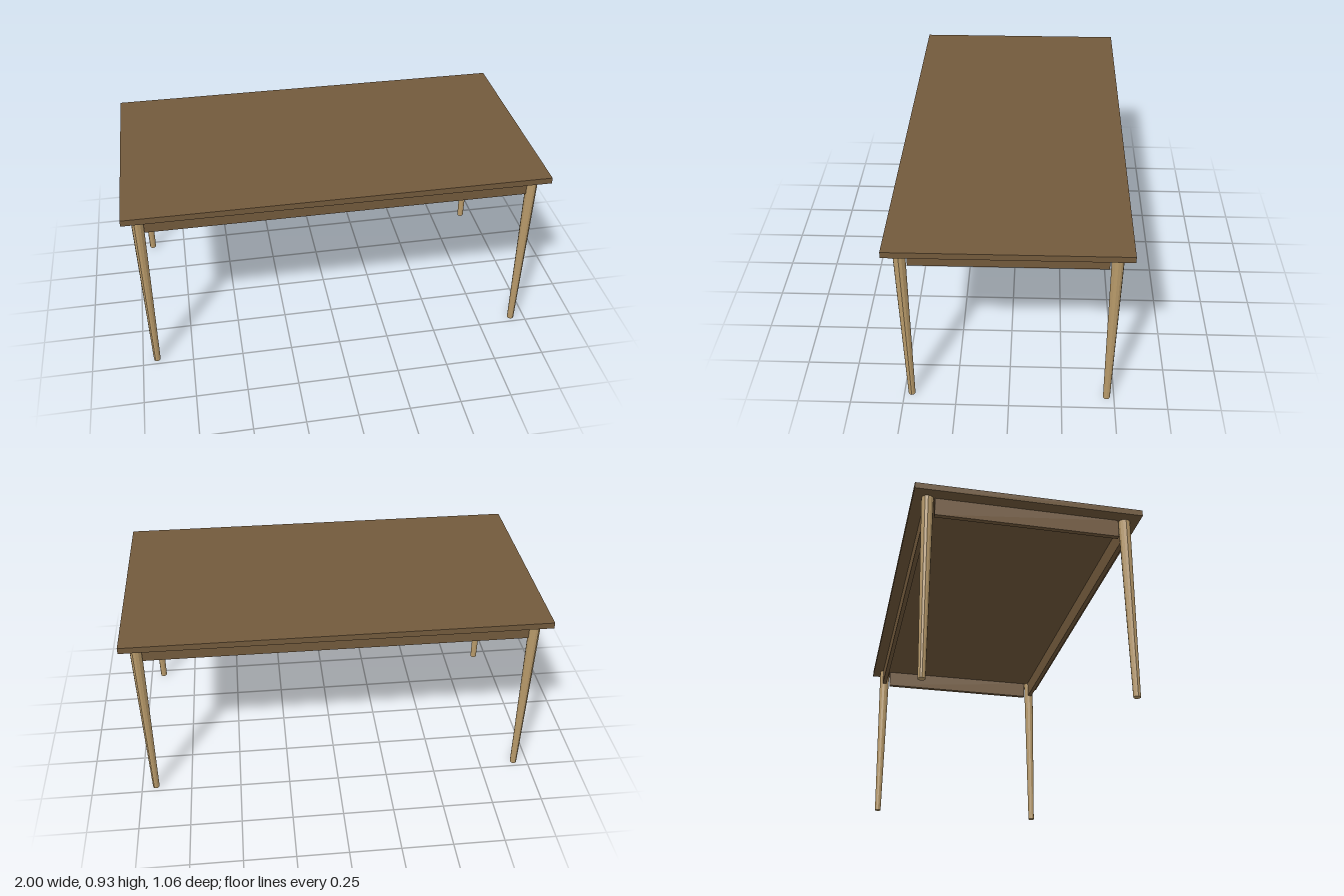
import * as THREE from 'three';

export function createModel() {
  const table = new THREE.Group();
  table.name = 'table';

  const darkWood = new THREE.MeshStandardMaterial({ color: 0x735a3c });
  darkWood.name = 'darkWood';
  const paleWood = new THREE.MeshStandardMaterial({ color: 0xb89a6a, flatShading: true });
  paleWood.name = 'paleWood';

  const add = (name, geometry, material, x, y, z) => {
    const mesh = new THREE.Mesh(geometry, material);
    mesh.name = name;
    mesh.position.set(x, y, z);
    table.add(mesh);
  };

  const legX = 0.93, legZ = 0.465, legHeight = 0.896;

  // Flat slab top
  add('tableTop', new THREE.BoxGeometry(2, 0.03, 1.064), darkWood, 0, legHeight + 0.015, 0);

  // Four tapered round legs
  const leg = new THREE.CylinderGeometry(0.028, 0.0165, legHeight, 12);
  for (const sx of [-1, 1]) {
    for (const sz of [-1, 1]) {
      const name = (sz > 0 ? 'front' : 'back') + (sx > 0 ? 'Left' : 'Right') + 'Leg';
      add(name, leg, paleWood, sx * legX, legHeight / 2, sz * legZ);
    }
  }

  // Apron rails between the legs
  const apronHeight = 0.088, apronY = legHeight - apronHeight / 2;
  const longRail = new THREE.BoxGeometry(1.806, apronHeight, 0.022);
  const shortRail = new THREE.BoxGeometry(0.022, apronHeight, 0.864);
  for (const s of [-1, 1]) {
    add(s > 0 ? 'frontApron' : 'backApron', longRail, darkWood, 0, apronY, s * legZ);
    add(s > 0 ? 'leftApron' : 'rightApron', shortRail, darkWood, s * legX, apronY, 0);
  }

  return table;
}
